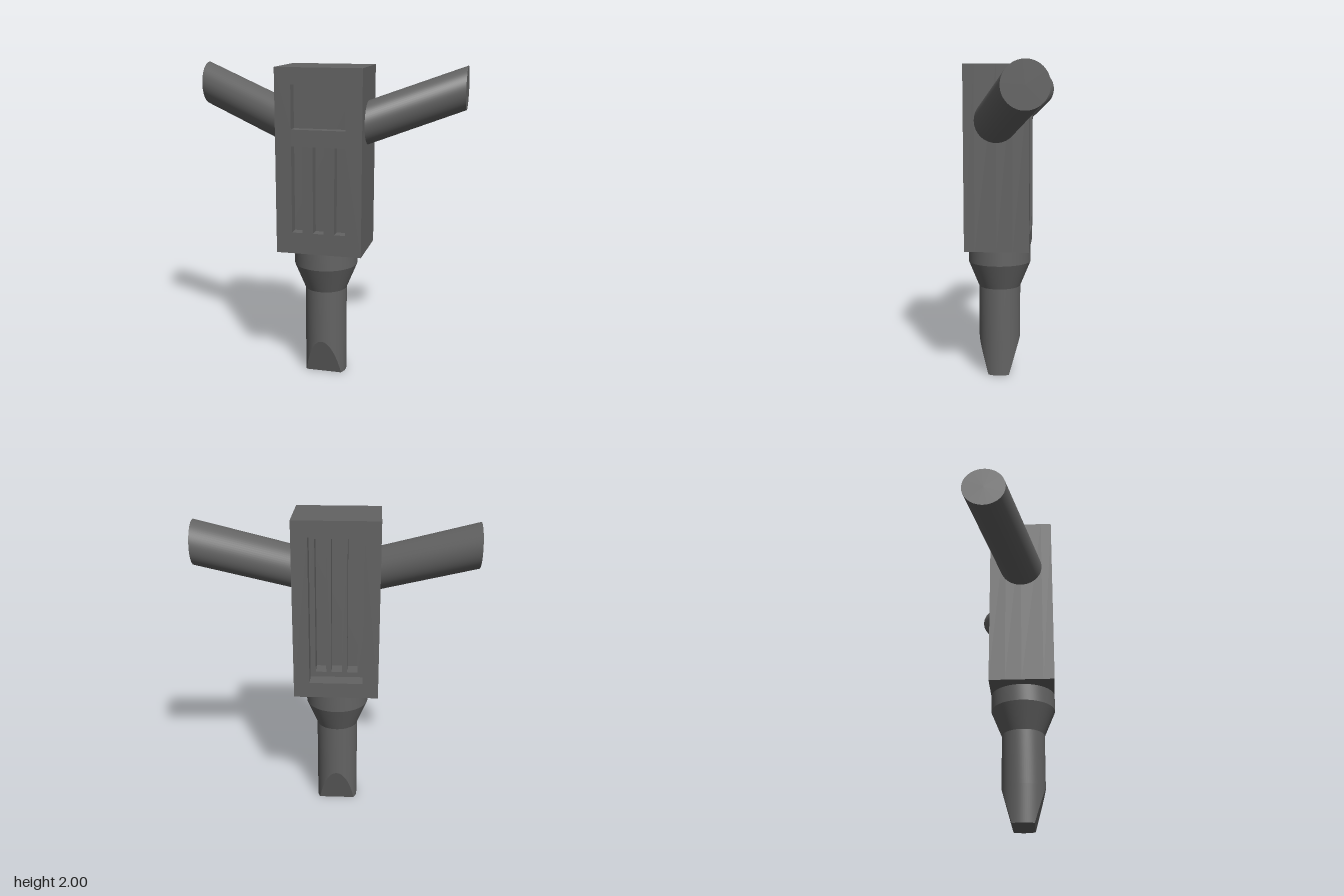
import * as THREE from 'three';
import { toCreasedNormals } from 'three/addons/utils/BufferGeometryUtils.js';

const material = new THREE.MeshStandardMaterial({ color: 0x636363 });
const R = 0.135;       // radius of the handles and shaft
const AXIS_Z = 0.0676; // depth of the shaft axis

function rect(Type, x0, x1, y0, y1) {
  const p = new Type();
  p.moveTo(x0, y0);
  p.lineTo(x1, y0);
  p.lineTo(x1, y1);
  p.lineTo(x0, y1);
  p.closePath();
  return p;
}

function addMesh(parent, name, geometry) {
  const mesh = new THREE.Mesh(geometry, material);
  mesh.name = name;
  parent.add(mesh);
  return mesh;
}

// One slab of the housing with rectangular openings [x0, x1, y0, y1]
function housingLayer(parent, name, z0, z1, openings) {
  const shape = rect(THREE.Shape, -0.27, 0.27, 0.851, 2);
  shape.holes = openings.map((o) => rect(THREE.Path, ...o));
  const g = new THREE.ExtrudeGeometry(shape, { depth: z1 - z0, bevelEnabled: false });
  addMesh(parent, name, g.translate(0, 0, z0));
}

// Three equal upright slots side by side
function slots(spacing, y0, y1) {
  return [-spacing, 0, spacing].map((x) => [x - 0.034, x + 0.034, y0, y1]);
}

// Sheared cylinder whose sections across x stay circular
function handle(parent, name, side) {
  const x0 = 0.2, x1 = 0.845, slope = 0.3525;
  const g = new THREE.CylinderGeometry(R, R, x1 - x0, 64);
  g.rotateZ(-side * Math.PI / 2).translate(side * (x0 + x1) / 2, 0, 0);
  const s = side * slope;
  g.applyMatrix4(new THREE.Matrix4().set(
    1, 0, 0, 0,
    s, 1, 0, 2 - R - slope * x1,
    -s, 0, 1, -R + slope * x1,
    0, 0, 0, 1));
  addMesh(parent, name, g);
}

// Round tip cut by two sloping planes into a chisel
function chiselTip(h) {
  const flat = R / 2;
  const g = new THREE.CylinderGeometry(R, R, h, 72, 2).translate(0, h / 2, 0);
  const p = g.attributes.position;
  for (let i = 0; i < p.count; i++) {
    const y = p.getY(i), z = p.getZ(i);
    if (y < 0.001) {
      p.setZ(i, THREE.MathUtils.clamp(z, -flat, flat));
    } else if (y < h - 0.001) {
      // middle ring follows the edge of the cut
      p.setY(i, Math.max(0.0005, h * (Math.abs(z) - flat) / (R - flat)));
    }
  }
  return toCreasedNormals(g, 0.2);
}

export function createModel() {
  const model = new THREE.Group();
  model.name = 'jackhammer';

  // Housing: back recess, vent slots, solid core, front panel
  const housing = new THREE.Group();
  housing.name = 'housing';
  model.add(housing);
  housingLayer(housing, 'backFrame', -0.135, -0.034, [[-0.169, 0.169, 0.951, 1.899]]);
  housingLayer(housing, 'ventPanel', -0.034, 0.0676, slots(0.1014, 0.985, 1.865));
  housingLayer(housing, 'core', 0.0676, 0.2027, []);
  housingLayer(housing, 'frontPanel', 0.2027, 0.27,
    [[-0.169, 0.169, 1.63, 1.899], ...slots(0.135, 0.986, 1.527)]);

  // Handles
  handle(model, 'leftHandle', 1);
  handle(model, 'rightHandle', -1);

  // Collar tapering into the shaft
  const tipHeight = 0.237;
  const profile = [[R, tipHeight], [R, 0.58], [0.2027, 0.745], [0.2027, 0.851]]
    .map(([x, y]) => new THREE.Vector2(x, y));
  const shaft = toCreasedNormals(new THREE.LatheGeometry(profile, 72), 0.2);
  addMesh(model, 'collarAndShaft', shaft).position.z = AXIS_Z;

  // Chisel
  addMesh(model, 'chiselTip', chiselTip(tipHeight)).position.z = AXIS_Z;

  return model;
}
